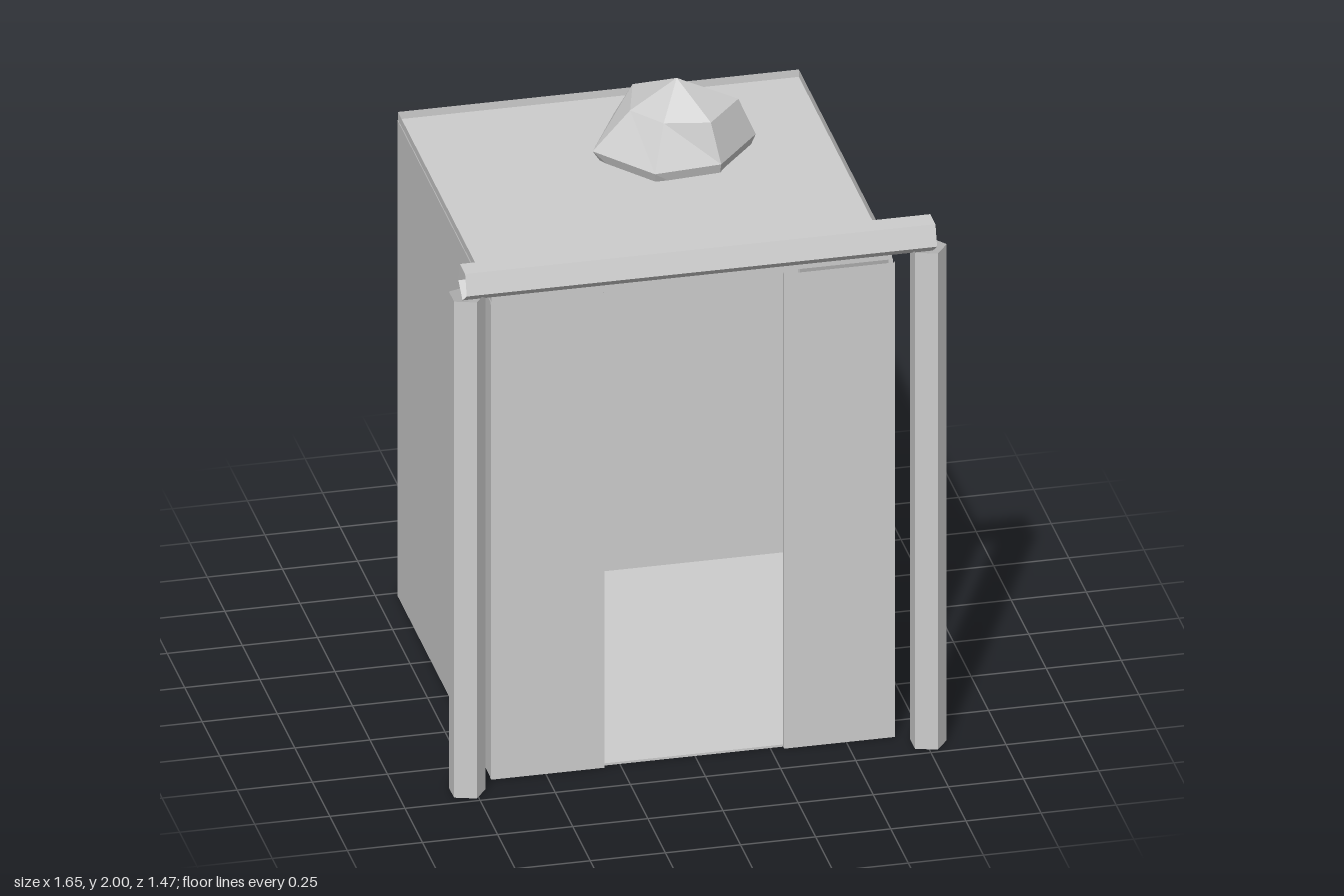
import * as THREE from 'three';

const stone = new THREE.MeshStandardMaterial({ color: 0xcccccc, flatShading: true, side: THREE.DoubleSide });
stone.name = 'pale grey';

// box faces in built-in order
const FACES = ['px', 'nx', 'py', 'ny', 'pz', 'nz'];

// shallow open panel: a box between two corners keeping only the named faces
function panel(name, min, max, keep) {
  const geo = new THREE.BoxGeometry(max[0] - min[0], max[1] - min[1], max[2] - min[2]);
  geo.translate((min[0] + max[0]) / 2, (min[1] + max[1]) / 2, (min[2] + max[2]) / 2);
  const index = Array.from(geo.index.array);
  geo.setIndex(keep.flatMap((f) => index.slice(FACES.indexOf(f) * 6, FACES.indexOf(f) * 6 + 6)));
  geo.clearGroups();
  return named(name, geo);
}

function named(name, geo) {
  const mesh = new THREE.Mesh(geo, stone);
  mesh.name = name;
  return mesh;
}

// open five-sided bar standing along y, with one corner pointing to +x
function bar(name, length) {
  return named(name, new THREE.CylinderGeometry(0.063, 0.063, length, 5, 1, true, Math.PI / 2));
}

// faceted boulder from six-cornered rings, closed to a point at each end
function boulder() {
  const rings = [
    [1.9, [[-0.005, -0.305], [0.08, -0.19], [0.23, -0.16], [0.355, -0.305], [0.215, -0.43], [0.045, -0.485]]],
    [1.765, [[-0.13, -0.305], [0.03, -0.1], [0.255, -0.12], [0.413, -0.305], [0.245, -0.49], [0, -0.555]]],
    [1.6, [[-0.02, -0.305], [0.055, -0.17], [0.25, -0.17], [0.34, -0.305], [0.215, -0.44], [0.045, -0.47]]],
  ];
  const pos = [0.15, 2, -0.305];
  for (const [y, pts] of rings) for (const [x, z] of pts) pos.push(x, y, z);
  pos.push(0.15, 1.6, -0.305);
  const idx = [];
  for (let i = 0; i < 6; i++) {
    const j = (i + 1) % 6;
    idx.push(0, 1 + i, 1 + j, 19, 13 + j, 13 + i);
    for (let r = 0; r < 2; r++) {
      const a = 1 + r * 6 + i, b = 1 + r * 6 + j;
      idx.push(a, a + 6, b + 6, a, b + 6, b);
    }
  }
  let geo = new THREE.BufferGeometry();
  geo.setAttribute('position', new THREE.Float32BufferAttribute(pos, 3));
  geo.setIndex(idx);
  geo = geo.toNonIndexed();
  geo.computeVertexNormals();
  return named('roofBoulder', geo);
}

export function createModel() {
  const model = new THREE.Group();
  model.name = 'hut';

  // hut body: floor, three walls and two front panels beside the doorway
  model.add(
    panel('floor', [-0.678, 0, -0.733], [0.658, 0.008, 0.6], FACES),
    panel('backWall', [-0.675, 0, -0.737], [0.655, 1.73, -0.722], ['px', 'nx', 'nz']),
    panel('rightWall', [-0.68, 0, -0.733], [-0.665, 1.73, 0.597], ['nx', 'pz', 'nz']),
    panel('leftWall', [0.645, 0, -0.733], [0.66, 1.73, 0.597], ['px', 'pz', 'nz']),
    panel('rightFrontPanel', [-0.682, 0, 0.6], [-0.305, 1.727, 0.615], ['px', 'nx', 'pz']),
    panel('leftFrontPanel', [0.293, 0, 0.6], [0.662, 1.727, 0.615], ['px', 'nx', 'pz']),
  );

  // roof tray with a raised rim, and the boulder set through it
  model.add(
    panel('roof', [-0.677, 1.73, -0.737], [0.657, 1.757, 0.597], ['px', 'nx', 'ny', 'pz', 'nz']),
    boulder(),
  );

  // gateway in front: two posts, a crossbeam and the plate behind it
  for (const [name, x] of [['rightPost', -0.777], ['leftPost', 0.757]]) {
    const post = bar(name, 1.805);
    post.position.set(x, 0.9025, 0.675);
    model.add(post);
  }
  const beam = bar('crossbeam', 1.565);
  beam.rotation.z = -Math.PI / 2; // corner turns to face down
  beam.position.set(-0.008, 1.849, 0.673);
  model.add(beam);
  model.add(panel('plate', [-0.32, 1.757, 0.603], [0.3, 1.882, 0.626], ['px', 'nx', 'pz']));

  return model;
}
